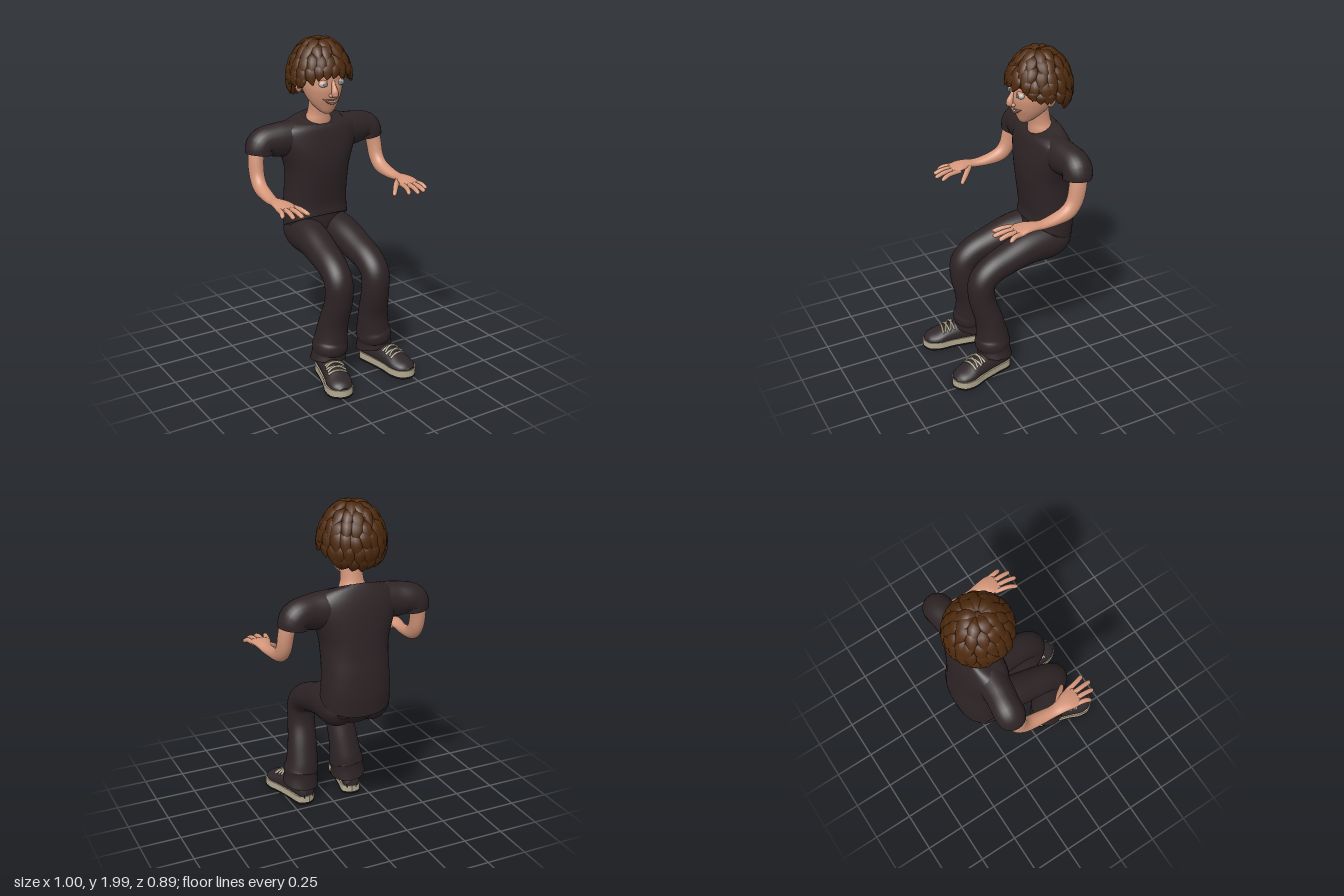
import * as THREE from 'three';

const V3 = (x, y, z) => new THREE.Vector3(x, y, z);
const X = V3(1, 0, 0), Y = V3(0, 1, 0), Z = V3(0, 0, 1);

const paint = (name, color, side = THREE.FrontSide) => {
  const m = new THREE.MeshStandardMaterial({ color, side });
  m.name = name;
  return m;
};

// Smooth skin over elliptical rows [x, y, z, halfWidth, halfDepth, tilt];
// axis fixes the ring direction, otherwise rings follow the path.
function loft(rows, { side = X, axis = null, n = 24, steps = 5, square = 1 } = {}) {
  const path = new THREE.CatmullRomCurve3(rows.map(r => V3(r[0], r[1], r[2])), false, 'catmullrom');
  const size = new THREE.CatmullRomCurve3(rows.map(r => V3(r[3], r[4], r[5] || 0)), false, 'catmullrom');
  const count = (rows.length - 1) * steps, pos = [], index = [];
  const bend = v => Math.sign(v) * Math.pow(Math.abs(v), square);
  for (let i = 0; i <= count; i++) {
    const t = i / count, c = path.getPoint(t), s = size.getPoint(t);
    const T = axis || path.getTangent(t);
    const U = side.clone().addScaledVector(T, -side.dot(T)).normalize();
    const W = T.clone().cross(U);
    for (let j = 0; j < n; j++) {
      const a = j / n * Math.PI * 2;
      const p = c.clone()
        .addScaledVector(U, bend(Math.cos(a)) * Math.max(s.x, 0.001))
        .addScaledVector(W, bend(Math.sin(a)) * Math.max(s.y, 0.001));
      pos.push(p.x, p.y + s.z * (p.z - c.z), p.z);
    }
  }
  for (let i = 0; i < count; i++) for (let j = 0; j < n; j++) {
    const a = i * n + j, b = i * n + (j + 1) % n;
    index.push(a, b, a + n, b, b + n, a + n);
  }
  for (const end of [0, count]) {               // separate caps keep the rims sharp
    const base = pos.length / 3, c = path.getPoint(end / count);
    pos.push(...pos.slice(end * n * 3, (end + 1) * n * 3), c.x, c.y, c.z);
    for (let j = 0; j < n; j++) {
      const a = base + j, b = base + (j + 1) % n;
      index.push(...(end ? [a, b, base + n] : [b, a, base + n]));
    }
  }
  const g = new THREE.BufferGeometry();
  g.setAttribute('position', new THREE.Float32BufferAttribute(pos, 3));
  g.setIndex(index);
  g.computeVertexNormals();
  return g;
}

function mirrored(geo) {
  const g = geo.clone().scale(-1, 1, 1);
  const src = g.index ? Array.from(g.index.array) : [...Array(g.attributes.position.count).keys()];
  for (let i = 0; i < src.length; i += 3) [src[i + 1], src[i + 2]] = [src[i + 2], src[i + 1]];
  g.setIndex(src);
  return g;
}

const ball = (x, y, z, rx, ry, rz, lid = Math.PI) =>
  new THREE.SphereGeometry(1, 24, 16, 0, Math.PI * 2, 0, lid).scale(rx, ry, rz).translate(x, y, z);

export function createModel() {
  const model = new THREE.Group();
  const skin = paint('skin', 0xd4967a), hairMat = paint('hair brown', 0x4e2a0e, THREE.DoubleSide);
  const shirt = paint('shirt charcoal', 0x2e2426), trousers = paint('trouser charcoal', 0x2d2325);
  const shoeMat = paint('shoe dark', 0x30282a), rubber = paint('sole beige', 0xb3a98f);
  const tread = paint('tread black', 0x171415), eyeMat = paint('eye white', 0xc4bcb4);
  const irisMat = paint('iris grey', 0x85888a), lip = paint('lip', 0xa8624f);
  const add = (name, geo, mat) => {
    const m = new THREE.Mesh(geo, mat);
    m.name = name;
    model.add(m);
  };
  const pair = (name, geo, mat) => {
    add(name + 'Left', geo, mat);
    add(name + 'Right', mirrored(geo), mat);
  };

  // Shirt body with a sloping hem and collar
  add('shirtBody', loft([
    [0, 0.845, -0.285, 0.208, 0.142, 0.5], [0, 0.93, -0.293, 0.205, 0.145, 0.25],
    [0, 1.02, -0.288, 0.2, 0.146], [0, 1.12, -0.275, 0.2, 0.147], [0, 1.21, -0.266, 0.207, 0.148],
    [0, 1.3, -0.262, 0.235, 0.143], [0, 1.38, -0.262, 0.262, 0.13], [0, 1.45, -0.262, 0.26, 0.112],
    [0, 1.495, -0.258, 0.19, 0.09, -0.2], [0, 1.508, -0.252, 0.1, 0.078, -0.4],
  ], { axis: Y, n: 40, square: 0.88 }), shirt);
  pair('sleeve', loft([
    [0.15, 1.4, -0.265, 0.095, 0.105], [0.25, 1.395, -0.27, 0.088, 0.104],
    [0.335, 1.395, -0.282, 0.086, 0.09], [0.372, 1.37, -0.282, 0.087, 0.087],
    [0.378, 1.325, -0.28, 0.084, 0.087],
  ], { side: Z }), shirt);

  // Trousers: seat and bent legs with flared, creased cuffs
  add('trouserSeat', loft([
    [0, 0.695, -0.265, 0.09, 0.06], [0, 0.755, -0.283, 0.17, 0.105],
    [0, 0.84, -0.285, 0.198, 0.127], [0, 0.94, -0.285, 0.19, 0.125],
  ], { axis: Y, n: 32 }), trousers);
  pair('trouserLeg', loft([
    [0.1, 0.8, -0.375, 0.06, 0.04], [0.104, 0.795, -0.33, 0.095, 0.09],
    [0.105, 0.785, -0.25, 0.106, 0.115], [0.11, 0.775, -0.12, 0.103, 0.106],
    [0.118, 0.735, 0.02, 0.095, 0.093], [0.125, 0.69, 0.135, 0.088, 0.086],
    [0.128, 0.62, 0.2, 0.086, 0.084], [0.128, 0.5, 0.2, 0.086, 0.08],
    [0.14, 0.36, 0.163, 0.092, 0.084], [0.15, 0.25, 0.148, 0.1, 0.1],
    [0.157, 0.2, 0.148, 0.108, 0.11], [0.16, 0.165, 0.142, 0.103, 0.102, 0.1],
    [0.165, 0.115, 0.138, 0.112, 0.108, 0.22],
  ], { n: 32 }), trousers);

  // Shoes, shaped along z and then turned outwards
  const place = g => g.rotateY(0.22).translate(0.193, 0, 0.238);
  const outline = new THREE.Shape();
  outline.moveTo(0, -0.205);
  outline.splineThru([[0.055, -0.175], [0.062, -0.08], [0.07, 0.03], [0.083, 0.11], [0.066, 0.18],
    [0, 0.213], [-0.062, 0.18], [-0.078, 0.11], [-0.066, 0.03], [-0.06, -0.08], [-0.055, -0.175],
    [0, -0.205]].map(p => new THREE.Vector2(...p)));
  const slab = (depth, top) => place(new THREE.ExtrudeGeometry(outline,
    { depth, bevelEnabled: false, curveSegments: 40 }).rotateX(Math.PI / 2).translate(0, top, 0));
  pair('tread', slab(0.013, 0.013), tread);
  pair('sole', slab(0.04, 0.053), rubber);
  pair('shoeUpper', place(loft([
    [0, 0.06, -0.197, 0.035, 0.03], [0, 0.08, -0.17, 0.055, 0.06], [0, 0.085, -0.06, 0.06, 0.075],
    [0, 0.075, 0.05, 0.069, 0.062], [0, 0.062, 0.12, 0.077, 0.046],
    [0, 0.055, 0.175, 0.06, 0.034], [0, 0.05, 0.205, 0.025, 0.014],
  ], { axis: Z })), shoeMat);
  // Laces: arcs crossing over the top of the foot
  for (const [z, skew] of [[0.03, 0.012], [0.03, -0.012], [0.062, 0.015], [0.062, -0.015], [0.09, 0]]) {
    const arc = [-1, -0.5, 0, 0.5, 1].map(k => {
      const a = Math.PI / 2 - k * 0.85;
      return [Math.cos(a) * 0.075, 0.075 - (z - 0.05) * 0.2 + Math.sin(a) * (0.067 - (z - 0.05) * 0.23),
        z + skew * k, 0.007, 0.006];
    });
    pair('lace', place(loft(arc, { side: Z, n: 6, steps: 3 })), rubber);
  }

  // Arms, palms, fingers and thumbs
  pair('arm', loft([
    [0.395, 1.38, -0.275, 0.045, 0.055], [0.412, 1.29, -0.265, 0.045, 0.053],
    [0.417, 1.2, -0.243, 0.043, 0.05], [0.42, 1.145, -0.195, 0.042, 0.046],
    [0.425, 1.122, -0.11, 0.04, 0.033], [0.432, 1.115, -0.03, 0.036, 0.024],
    [0.433, 1.122, 0.03, 0.044, 0.022], [0.428, 1.122, 0.08, 0.058, 0.021],
    [0.423, 1.113, 0.13, 0.062, 0.016], [0.423, 1.11, 0.145, 0.05, 0.009],
  ]), skin);
  for (const [x0, x1, tip] of [[0.375, 0.344, 0.238], [0.406, 0.394, 0.258], [0.438, 0.443, 0.246], [0.468, 0.486, 0.203]]) {
    pair('finger', loft([
      [x0, 1.112, 0.1, 0.015, 0.014], [(x0 + x1) / 2, 1.112, 0.06 + tip / 2, 0.015, 0.014],
      [x1, 1.098, tip - 0.012, 0.013, 0.012], [x1, 1.095, tip, 0.004, 0.004],
    ], { n: 12 }), skin);
  }
  pair('thumb', loft([
    [0.41, 1.115, 0.02, 0.02, 0.018], [0.365, 1.095, 0.06, 0.019, 0.017],
    [0.325, 1.063, 0.105, 0.014, 0.013], [0.312, 1.053, 0.118, 0.005, 0.005],
  ], { side: Y, n: 12 }), skin);

  // Neck and head
  add('neck', loft([
    [0, 1.45, -0.255, 0.09, 0.08], [0, 1.5, -0.247, 0.08, 0.075], [0, 1.54, -0.238, 0.066, 0.068],
    [0, 1.6, -0.225, 0.064, 0.07], [0, 1.67, -0.21, 0.07, 0.08],
  ], { axis: Y }), skin);
  add('head', loft([
    [0, 1.553, -0.14, 0.025, 0.025], [0, 1.572, -0.15, 0.05, 0.048], [0, 1.61, -0.172, 0.08, 0.085],
    [0, 1.65, -0.188, 0.1, 0.117], [0, 1.7, -0.2, 0.115, 0.14], [0, 1.75, -0.21, 0.121, 0.146],
    [0, 1.81, -0.22, 0.124, 0.155], [0, 1.88, -0.22, 0.115, 0.145], [0, 1.94, -0.225, 0.06, 0.07],
  ], { axis: Y, n: 36 }), skin);
  pair('ear', ball(0.133, 1.715, -0.238, 0.017, 0.043, 0.03).rotateY(0), skin);

  // Face
  add('nose', loft([
    [0, 1.755, -0.075, 0.012, 0.012], [0, 1.72, -0.06, 0.014, 0.018],
    [0, 1.69, -0.046, 0.021, 0.02], [0, 1.668, -0.055, 0.02, 0.016],
  ], { n: 16 }), skin);
  add('noseTip', ball(0, 1.68, -0.045, 0.019, 0.016, 0.019), skin);
  pair('nostril', ball(0.019, 1.673, -0.06, 0.012, 0.011, 0.014), skin);
  pair('eye', ball(0.053, 1.74, -0.088, 0.03, 0.021, 0.022), eyeMat);
  pair('iris', ball(0.051, 1.74, -0.067, 0.013, 0.013, 0.004), irisMat);
  pair('eyelid', ball(0.053, 1.741, -0.088, 0.033, 0.024, 0.0255, 0.95), skin);
  pair('eyebrow', loft([[0.02, 1.782, -0.066, 0.003, 0.003], [0.05, 1.793, -0.073, 0.005, 0.006],
    [0.09, 1.778, -0.105, 0.002, 0.003]], { side: Z, n: 8 }), hairMat);
  const smile = (lift, r) => loft([-1, -0.5, 0, 0.5, 1].map(k => [k * 0.056,
    1.63 + lift * (1 - k * k) + 0.02 * k * k, -0.072 - 0.021 * k * k, 0.006, r * (1.15 - k * k)]), { side: Z, n: 10 });
  add('upperLip', smile(0.011, 0.004), lip);
  add('teeth', smile(0.003, 0.006), eyeMat);
  add('lowerLip', smile(-0.007, 0.006), lip);

  // Hair: a scalp cap whose edge frames the face, covered in layered locks
  const edge = f => 1.5 + 1.15 * Math.pow((1 - Math.cos(f)) / 2, 0.8)
    - 0.4 * Math.exp(-Math.pow((Math.abs(f) - 1.65) / 0.28, 2));
  const onHead = (t, f, r) => V3(0.178 * Math.sin(t * 0.85) * Math.sin(f) * r,
    1.8 + 0.175 * Math.cos(t) * r, -0.23 + 0.182 * Math.sin(t * 0.85) * Math.cos(f) * r);
  const scalp = new THREE.SphereGeometry(1, 48, 24);
  for (let i = 0; i < scalp.attributes.position.count; i++) {
    const f = scalp.attributes.uv.getX(i) * Math.PI * 2 - Math.PI;
    const p = onHead((1 - scalp.attributes.uv.getY(i)) * edge(f), f, 0.97);
    scalp.attributes.position.setXYZ(i, p.x, p.y, p.z);
  }
  scalp.computeVertexNormals();
  add('scalpHair', scalp, hairMat);
  let seed = 7;
  const rand = () => (seed = (seed * 16807) % 2147483647) / 2147483647;
  [[0.06, 9], [0.4, 14], [0.8, 19], [1.15, 21], [1.55, 22], [1.95, 22]].forEach(([start, count], layer) => {
    for (let i = 0; i < count; i++) {
      const f = ((i + 0.5 * (layer % 2) + 0.3 * rand()) / count) * Math.PI * 2 - Math.PI;
      const t0 = start + 0.12 * rand(), limit = edge(f);
      if (t0 > limit - 0.2) continue;
      const t1 = Math.min(t0 + 0.7 + 0.2 * rand(), limit + 0.05 + 0.16 * rand());
      const twist = (rand() - 0.5) * 0.35, lift = 1.06 + 0.06 * rand();
      const rows = [[0, 0.96, 0.018], [0.35, 1.02, 0.036], [0.7, 1.04, 0.029], [1, lift, 0.002]].map(([k, r, w]) => {
        const p = onHead(t0 + (t1 - t0) * k, f + twist * k * k, r);
        return [p.x, p.y, p.z, w, w * 0.5];
      });
      add('hairLock', loft(rows, { side: V3(Math.cos(f), 0, -Math.sin(f)), n: 8, steps: 3 }), hairMat);
    }
  });
  return model;
}
